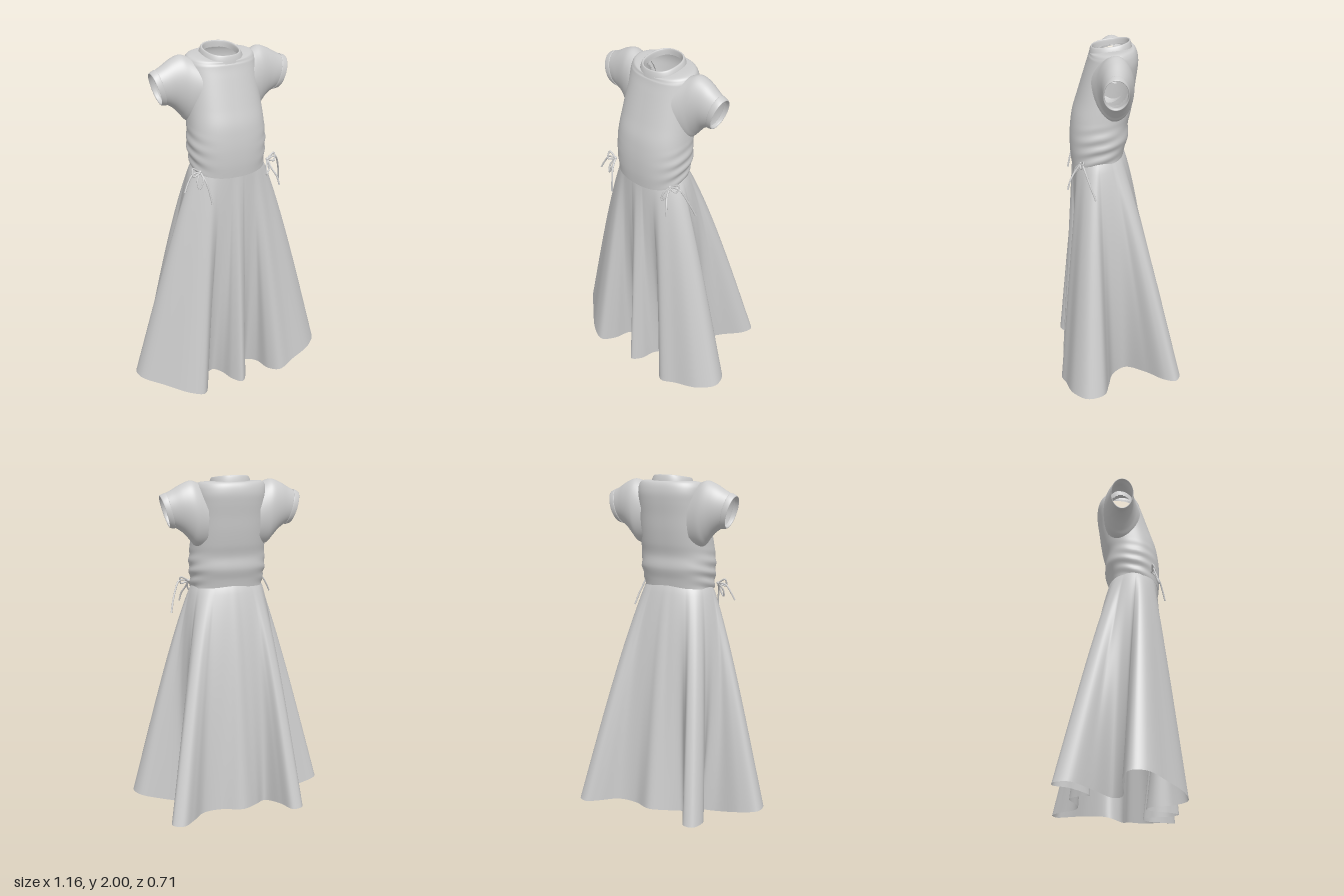
import * as THREE from 'three';

const V = (x, y, z) => new THREE.Vector3(x, y, z);
const clamp = (v) => Math.min(1, Math.max(0, v));
const spow = (v, p) => Math.sign(v) * Math.abs(v) ** p;

// Skin over closed loops, listed bottom to top; skip(centre) leaves holes
function loft(rows, skip = () => false) {
  const n = rows[0].length, pos = [], idx = [];
  rows.forEach((r) => r.forEach((p) => pos.push(p.x, p.y, p.z)));
  for (let i = 0; i < rows.length - 1; i++) {
    for (let j = 0; j < n; j++) {
      const k = (j + 1) % n;
      const centre = rows[i][j].clone().add(rows[i + 1][k]).multiplyScalar(0.5);
      if (skip(centre)) continue;
      const a = i * n + j, b = i * n + k, c = a + n, d = b + n;
      idx.push(a, b, d, a, d, c);
    }
  }
  const g = new THREE.BufferGeometry();
  g.setAttribute('position', new THREE.Float32BufferAttribute(pos, 3));
  g.setIndex(idx);
  g.computeVertexNormals();
  return g;
}

// Smooth interpolation through rows of numbers
function sample(keys, t) {
  const n = keys.length - 1, f = t * n, i = Math.min(n - 1, Math.floor(f)), u = f - i;
  const k = (q) => keys[Math.min(n, Math.max(0, q))];
  return keys[0].map((_, c) => {
    const [p0, p1, p2, p3] = [k(i - 1)[c], k(i)[c], k(i + 1)[c], k(i + 2)[c]];
    return p1 + 0.5 * u * (p2 - p0 + u * (2 * p0 - 5 * p1 + 4 * p2 - p3 + u * (3 * (p1 - p2) + p3 - p0)));
  });
}

// Hem outline: x, z and the waist angle each point hangs from
const HEM = [
  [0, 0.335, 0], [0.045, 0.29, 8], [0.07, 0.2, 14], [0.12, 0.15, 20], [0.175, 0.19, 26],
  [0.205, 0.29, 34], [0.26, 0.342, 42], [0.36, 0.315, 54], [0.5, 0.275, 66], [0.578, 0.19, 76],
  [0.55, 0.1, 84], [0.42, 0.065, 92], [0.27, 0.03, 100], [0.23, -0.04, 108], [0.32, -0.16, 116],
  [0.425, -0.265, 126], [0.44, -0.33, 134], [0.38, -0.358, 141], [0.315, -0.31, 148],
  [0.23, -0.225, 156], [0.12, -0.208, 167], [0, -0.255, 180],
  [-0.1, -0.2, 192], [-0.17, -0.145, 202], [-0.235, -0.25, 212], [-0.28, -0.335, 220],
  [-0.34, -0.33, 228], [-0.36, -0.25, 236], [-0.29, -0.13, 246], [-0.22, -0.03, 256],
  [-0.3, 0.02, 264], [-0.47, 0.01, 272], [-0.57, 0.04, 280], [-0.57, 0.12, 288],
  [-0.46, 0.23, 300], [-0.34, 0.33, 312], [-0.26, 0.352, 319], [-0.205, 0.28, 327],
  [-0.17, 0.18, 335], [-0.11, 0.15, 342], [-0.07, 0.2, 347], [-0.045, 0.28, 353],
];

function skirtGeometry() {
  const n = 300, m = 44, span = 22;
  const hemCurve = new THREE.CatmullRomCurve3(HEM.map(([x, z]) =>
    V(x, 0.078 * Math.max(clamp((Math.abs(x) - 0.22) / 0.33), clamp((0.12 - z) / 0.36)), z)), true);
  const waistCurve = new THREE.CatmullRomCurve3(HEM.map(([, , deg]) => {
    const a = THREE.MathUtils.degToRad(deg);
    return V(0.203 * Math.sin(a), 1.375 - 0.02 * Math.cos(a), 0.106 + 0.14 * Math.cos(a));
  }), true);
  const columns = Array.from({ length: n }, (_, j) => {
    const waist = waistCurve.getPoint(j / n);
    const out = V(waist.x / 0.203, 0, (waist.z - 0.106) / 0.14).normalize();
    return { waist, out, drop: hemCurve.getPoint(j / n).sub(waist) };
  });
  // how far each fold lies behind its neighbours: valleys only deepen lower down
  columns.forEach((col, j) => {
    let sum = 0;
    for (let k = -span; k <= span; k++) sum += columns[(j + k + n) % n].drop.dot(col.out);
    col.valley = Math.max(0, sum / (2 * span + 1) - col.drop.dot(col.out));
  });
  const rows = [];
  for (let i = 0; i <= m; i++) {
    const t = 1 - i / m;
    const hip = 0.03 * Math.sin(Math.PI * t ** 0.6);
    rows.push(columns.map(({ waist, out, drop, valley }) => waist.clone().addScaledVector(drop, t)
      .addScaledVector(out, valley * t * (1 - t) + hip * (1 - Math.max(0, out.z)))));
  }
  return loft(rows);
}

// Bodice sections: y, half width, back z, front z, roundness
const BODICE = [
  [1.345, 0.208, -0.038, 0.252, 0.86], [1.41, 0.214, -0.05, 0.258, 0.86],
  [1.48, 0.22, -0.068, 0.258, 0.86], [1.55, 0.217, -0.066, 0.252, 0.86],
  [1.62, 0.213, -0.082, 0.24, 0.86], [1.7, 0.208, -0.096, 0.215, 0.86],
  [1.78, 0.203, -0.106, 0.19, 0.86], [1.85, 0.2, -0.116, 0.168, 0.88],
  [1.9, 0.2, -0.12, 0.152, 0.94], [1.938, 0.198, -0.114, 0.143, 1.1],
  [1.96, 0.175, -0.1, 0.14, 1.1], [1.962, 0.104, -0.083, 0.133, 0.9],
];

function bodiceGeometry() {
  const rows = [], n = 144, m = 88;
  for (let i = 0; i <= m; i++) {
    const [y, rx, zb, zf, round] = sample(BODICE, i / m), row = [];
    for (let j = 0; j < n; j++) {
      const a = (j / n) * Math.PI * 2, s = Math.sin(a), c = Math.cos(a);
      // gathers fanning out from the side seams
      const gather = 0.02 * s ** 4 * clamp((1.6 - y) / 0.1) * Math.sin(y * 88 + 4 * c);
      const low = clamp((1.48 - y) / 0.13), high = clamp((y - 1.92) / 0.035);
      row.push(V(rx * spow(s, 0.82) * (1 + gather),
        y + low * (0.012 - 0.016 * c - 0.014 * c * c) - high * (0.013 * c + 0.01 * c * c),
        (zb + zf) / 2 + (zf - zb) / 2 * spow(c, round) * (1 + gather)));
    }
    rows.push(row);
  }
  // armholes open into the sleeves
  return loft(rows, (p) => Math.abs(p.x) > 0.1 && ((p.z - 0.02) / 0.085) ** 2 + ((p.y - 1.805) / 0.11) ** 2 < 1);
}

// Left sleeve rings: top x, y, bottom x, y, half depth, centre z
const SLEEVE = [
  [0.145, 1.935, 0.15, 1.6, 0.113, 0.033], [0.195, 1.96, 0.205, 1.61, 0.104, 0.018],
  [0.235, 1.969, 0.235, 1.643, 0.095, 0.012], [0.285, 1.951, 0.27, 1.682, 0.083, 0.011],
  [0.335, 1.922, 0.3, 1.705, 0.073, 0.014], [0.372, 1.903, 0.323, 1.717, 0.066, 0.016],
];
const CUFF = [
  [0.368, 1.904, 0.32, 1.715, 0.066, 0.016], [0.37, 1.907, 0.322, 1.711, 0.069, 0.016],
  [0.387, 1.9, 0.335, 1.713, 0.069, 0.017], [0.4, 1.892, 0.348, 1.717, 0.067, 0.018],
  [0.396, 1.887, 0.345, 1.725, 0.063, 0.018], [0.376, 1.894, 0.329, 1.727, 0.061, 0.017],
];

function ringLoft(keys, m, side) {
  const rows = [], n = 64;
  for (let i = 0; i <= m; i++) {
    const [tx, ty, bx, by, r, z] = sample(keys, i / m), row = [];
    for (let j = 0; j < n; j++) {
      const a = (j / n) * Math.PI * 2 * side, h = (1 + Math.cos(a)) / 2;
      row.push(V(side * (bx + (tx - bx) * h), by + (ty - by) * h, z - r * Math.sin(a)));
    }
    rows.push(row);
  }
  return loft(rows);
}

// Standing collar: radius x, radius z, height
function collarGeometry() {
  const keys = [[0.116, 0.116, 1.942], [0.11, 0.112, 1.963], [0.102, 0.107, 1.98],
    [0.096, 0.103, 1.984], [0.09, 0.099, 1.979], [0.087, 0.098, 1.95]];
  const rows = [];
  for (let i = 0; i <= 20; i++) {
    const [rx, rz, y] = sample(keys, i / 20), row = [];
    for (let j = 0; j < 80; j++) {
      const a = (j / 80) * Math.PI * 2, c = Math.cos(a);
      row.push(V(rx * spow(Math.sin(a), 0.85), y - 0.016 * c, 0.028 + rz * spow(c, 0.85)));
    }
    rows.push(row);
  }
  return loft(rows);
}

// Side bows: two loops and two tails each
const TIES = {
  rightTie: [
    [[-0.205, 1.375, 0.2], [-0.25, 1.4, 0.2], [-0.25, 1.36, 0.215], [-0.21, 1.37, 0.205]],
    [[-0.205, 1.375, 0.2], [-0.2, 1.34, 0.23], [-0.225, 1.29, 0.235], [-0.23, 1.33, 0.22], [-0.205, 1.375, 0.2]],
    [[-0.205, 1.375, 0.2], [-0.25, 1.37, 0.205], [-0.28, 1.33, 0.21], [-0.305, 1.28, 0.22]],
    [[-0.205, 1.375, 0.2], [-0.19, 1.33, 0.24], [-0.177, 1.27, 0.26], [-0.168, 1.205, 0.275]],
  ],
  leftTie: [
    [[0.205, 1.375, 0.2], [0.255, 1.4, 0.185], [0.25, 1.36, 0.2], [0.21, 1.37, 0.205]],
    [[0.205, 1.375, 0.2], [0.185, 1.34, 0.23], [0.18, 1.3, 0.24], [0.205, 1.33, 0.225], [0.205, 1.375, 0.2]],
    [[0.205, 1.375, 0.2], [0.26, 1.38, 0.19], [0.3, 1.3, 0.16], [0.326, 1.205, 0.125]],
    [[0.205, 1.375, 0.2], [0.215, 1.33, 0.235], [0.235, 1.29, 0.26], [0.245, 1.24, 0.275]],
  ],
};

export function createModel() {
  const group = new THREE.Group();
  group.name = 'dress';
  const cloth = new THREE.MeshStandardMaterial({ color: 0xcccccc, side: THREE.DoubleSide });
  cloth.name = 'greyCloth';
  const add = (name, geometry, parent = group) => {
    const mesh = new THREE.Mesh(geometry, cloth);
    mesh.name = name;
    parent.add(mesh);
  };

  add('skirt', skirtGeometry());
  add('bodice', bodiceGeometry());
  add('collar', collarGeometry());
  for (const [name, side] of [['left', 1], ['right', -1]]) {
    add(name + 'Sleeve', ringLoft(SLEEVE, 28, side));
    add(name + 'Cuff', ringLoft(CUFF, 20, side));
  }

  for (const [name, cords] of Object.entries(TIES)) {
    const tie = new THREE.Group();
    tie.name = name;
    cords.forEach((pts) => add('cord', new THREE.TubeGeometry(
      new THREE.CatmullRomCurve3(pts.map((p) => V(...p))), 24, 0.005, 8), tie));
    const knot = new THREE.SphereGeometry(0.009, 16, 12);
    knot.translate(...cords[0][0]);
    add('knot', knot, tie);
    group.add(tie);
  }
  return group;
}
